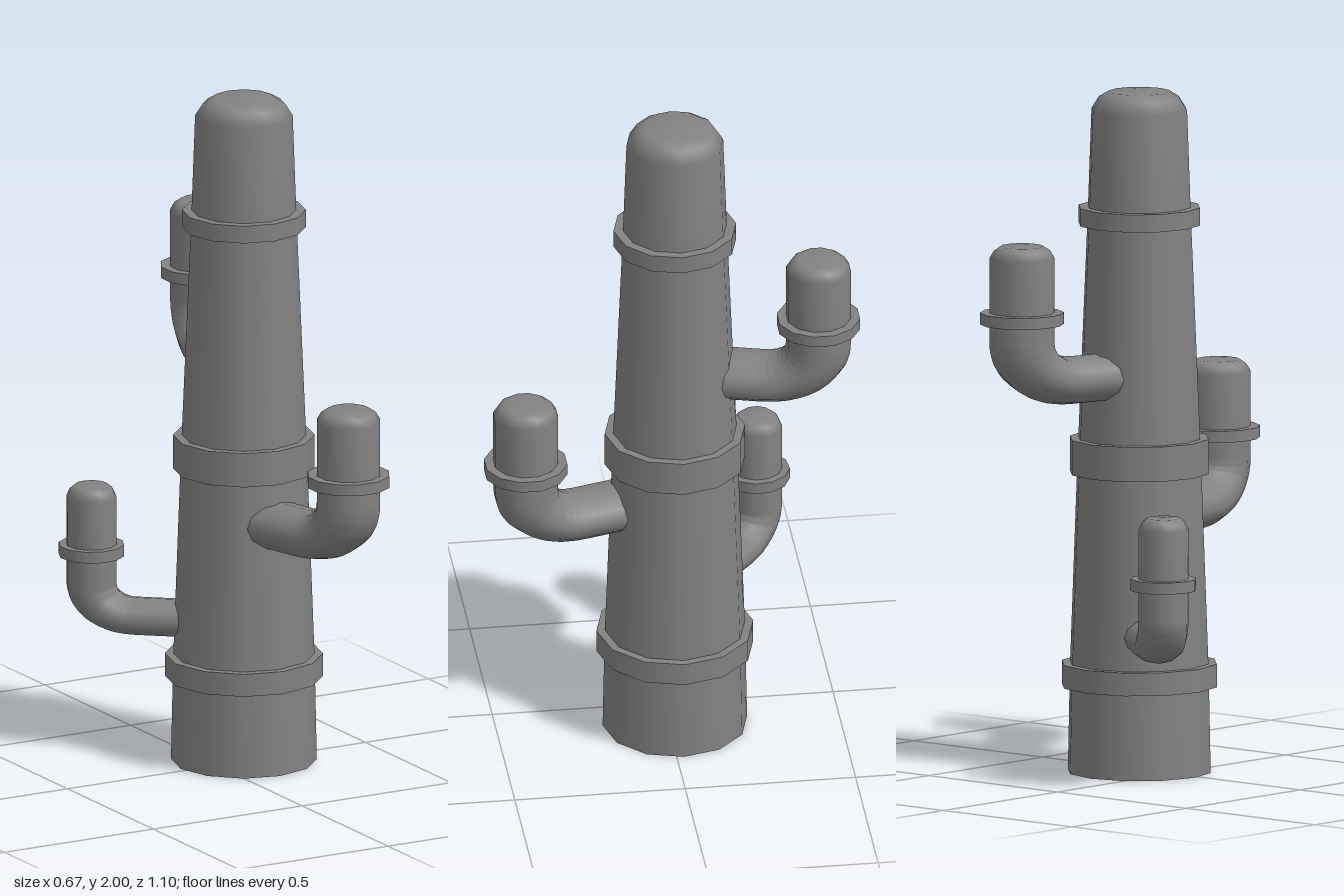
import * as THREE from 'three';

const SIDES = 12;
const material = new THREE.MeshStandardMaterial({ color: 0x828282, side: THREE.DoubleSide });

function addMesh(parent, name, geometry, y = 0) {
  const mesh = new THREE.Mesh(geometry, material);
  mesh.name = name;
  mesh.position.y = y;
  parent.add(mesh);
}

// Turned profile given as [radius, height] pairs
const lathe = (profile) =>
  new THREE.LatheGeometry(profile.map(([r, y]) => new THREE.Vector2(r, y)), SIDES);

// Flat collar spanning two heights
function addCollar(parent, name, radius, bottom, top) {
  addMesh(parent, name, new THREE.CylinderGeometry(radius, radius, top - bottom, SIDES), (bottom + top) / 2);
}

// Arm: squashed elbow pipe leaving the trunk, then a collar and a domed upright
function createArm({ name, position, yaw, radius: r, bend, collar, height }) {
  const arm = new THREE.Group();
  arm.name = name;
  arm.position.set(...position);
  arm.rotation.y = yaw;

  // Elbow path: straight run, quarter bend, then up into the collar
  const squash = 0.74;
  const points = [new THREE.Vector3(0, 0, -0.4)];
  const steps = 7;
  for (let i = 0; i <= steps; i++) {
    const a = (i / steps) * Math.PI / 2;
    points.push(new THREE.Vector3(0, bend * (1 - Math.cos(a)), bend * (Math.sin(a) - 1)));
  }
  points.push(new THREE.Vector3(0, 0.195 / squash, 0));
  const path = new THREE.CurvePath();
  for (let i = 1; i < points.length; i++) path.add(new THREE.LineCurve3(points[i - 1], points[i]));
  const elbow = new THREE.TubeGeometry(path, 32, r, SIDES, false);
  elbow.scale(1, squash, 1);
  addMesh(arm, 'elbow', elbow);

  addMesh(arm, 'upright', lathe([
    [r, 0.19], [r, height - 0.036], [r * 0.86, height - 0.014],
    [r * 0.66, height - 0.001], [0, height],
  ]));
  addCollar(arm, 'armCollar', collar, 0.178, 0.212);
  return arm;
}

export function createModel() {
  const model = new THREE.Group();
  model.name = 'pipeCactus';

  // Tapered trunk, open at the bottom, with a rounded top
  const trunk = new THREE.Group();
  trunk.name = 'trunk';
  trunk.position.set(0.105, 0, -0.022);
  addMesh(trunk, 'trunkBody', lathe([
    [0.212, 0], [0.206, 0.3], [0.183, 0.93], [0.153, 1.64], [0.142, 1.945],
    [0.12, 1.98], [0.09, 1.998], [0, 2],
  ]));
  addCollar(trunk, 'lowerCollar', 0.23, 0.252, 0.32);
  addCollar(trunk, 'middleCollar', 0.206, 0.878, 0.98);
  addCollar(trunk, 'upperCollar', 0.18, 1.608, 1.66);
  model.add(trunk);

  // Three arms
  const large = { radius: 0.095, bend: 0.16, collar: 0.1225, height: 0.408 };
  const tilt = THREE.MathUtils.degToRad(15.5);
  model.add(
    createArm({ ...large, name: 'frontArm', position: [0.197, 0.746, 0.428], yaw: tilt }),
    createArm({ ...large, name: 'backArm', position: [0.199, 1.171, -0.431], yaw: Math.PI - tilt }),
    createArm({
      name: 'smallArm', position: [-0.242, 0.418, -0.308], yaw: Math.atan2(-0.347, -0.286),
      radius: 0.074, bend: 0.125, collar: 0.0965, height: 0.391,
    }),
  );
  return model;
}
